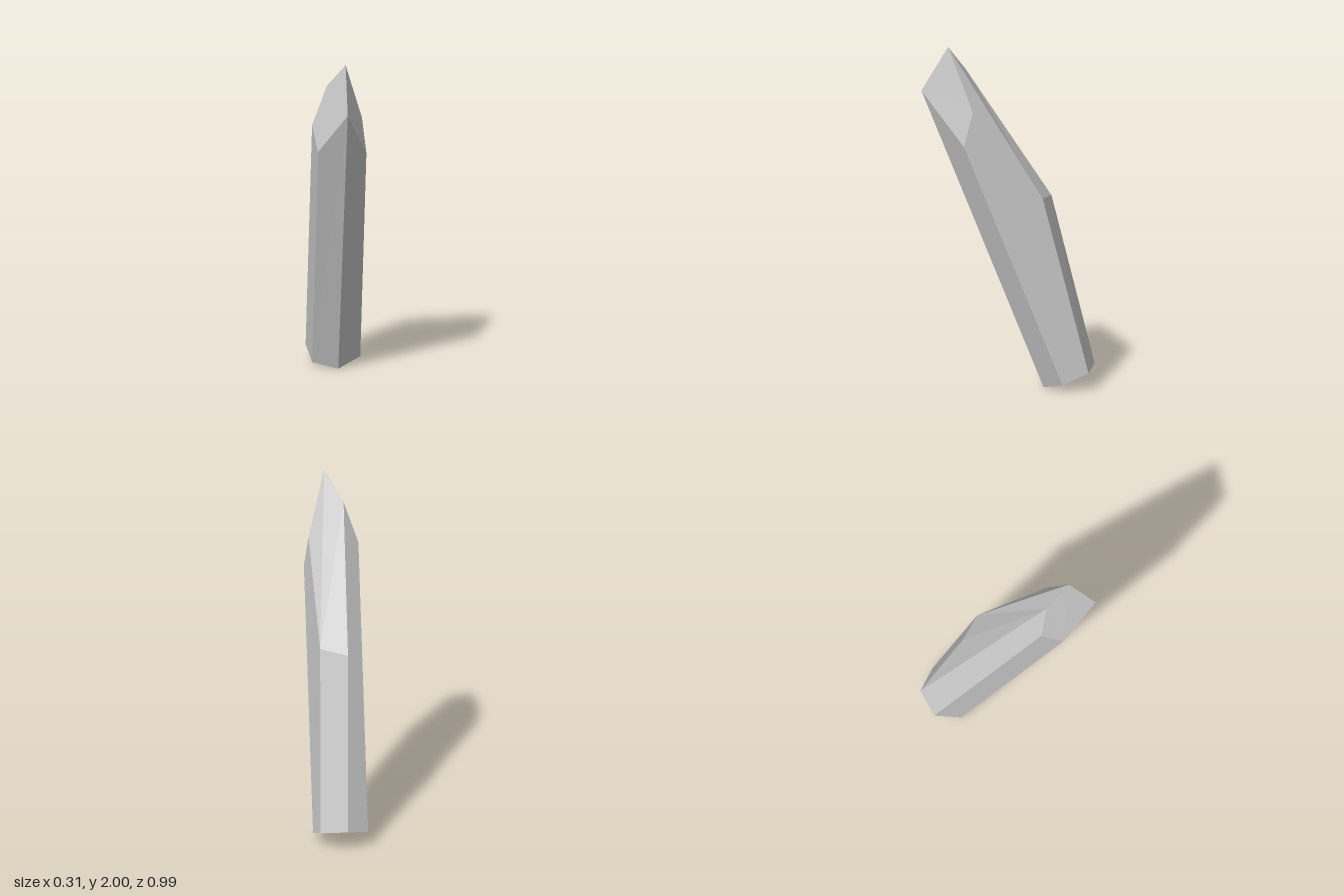
import * as THREE from 'three';

// Bottom hexagon, counter-clockwise from the front corner
const base = [
  [0.02, 0, -0.2], [0.15, 0.04, -0.295], [0.12, 0.1, -0.445],
  [-0.03, 0.12, -0.495], [-0.153, 0.08, -0.4], [-0.125, 0.025, -0.25],
];
// Where each long edge of the prism meets the cut tip
const rim = [
  [0.033, 1.75, 0.495], [0.152, 1.445, 0.265], [0.1, 1.12, -0.187],
  [-0.052, 1.1, -0.252], [-0.152, 1.6, 0.208], [-0.125, 1.48, 0.33],
];
// Tip point and the two shoulder corners beside it
const apex = [0.03, 2, 0.343];
const rightShoulder = [0.13, 1.64, 0.212];
const leftShoulder = [-0.07, 1.84, 0.231];

// Convex polygons fanned into separate flat triangles
function facetMesh(name, polygons, material) {
  const positions = [];
  for (const p of polygons) {
    for (let i = 1; i < p.length - 1; i++) positions.push(...p[0], ...p[i], ...p[i + 1]);
  }
  const geometry = new THREE.BufferGeometry();
  geometry.setAttribute('position', new THREE.Float32BufferAttribute(positions, 3));
  geometry.computeVertexNormals();
  const mesh = new THREE.Mesh(geometry, material);
  mesh.name = name;
  return mesh;
}

export function createModel() {
  const group = new THREE.Group();
  group.name = 'crystal';
  const material = new THREE.MeshStandardMaterial({ color: 0xcccccc, flatShading: true });

  // Six long sides; two of them also reach up to a shoulder
  const shoulders = { 1: rightShoulder, 3: leftShoulder };
  const sides = base.map((corner, i) => {
    const j = (i + 1) % 6;
    const top = shoulders[i] ? [rim[j], shoulders[i], rim[i]] : [rim[j], rim[i]];
    return [corner, base[j], ...top];
  });
  group.add(facetMesh('shaft', sides, material));

  // Three cut faces meeting at the apex
  group.add(facetMesh('tip', [
    [rim[0], rim[1], rightShoulder, apex],
    [rim[5], rim[0], apex, leftShoulder, rim[4]],
    [rim[2], rim[3], leftShoulder, apex, rightShoulder],
  ], material));

  // Flat hexagonal foot
  group.add(facetMesh('foot', [[...base].reverse()], material));
  return group;
}
